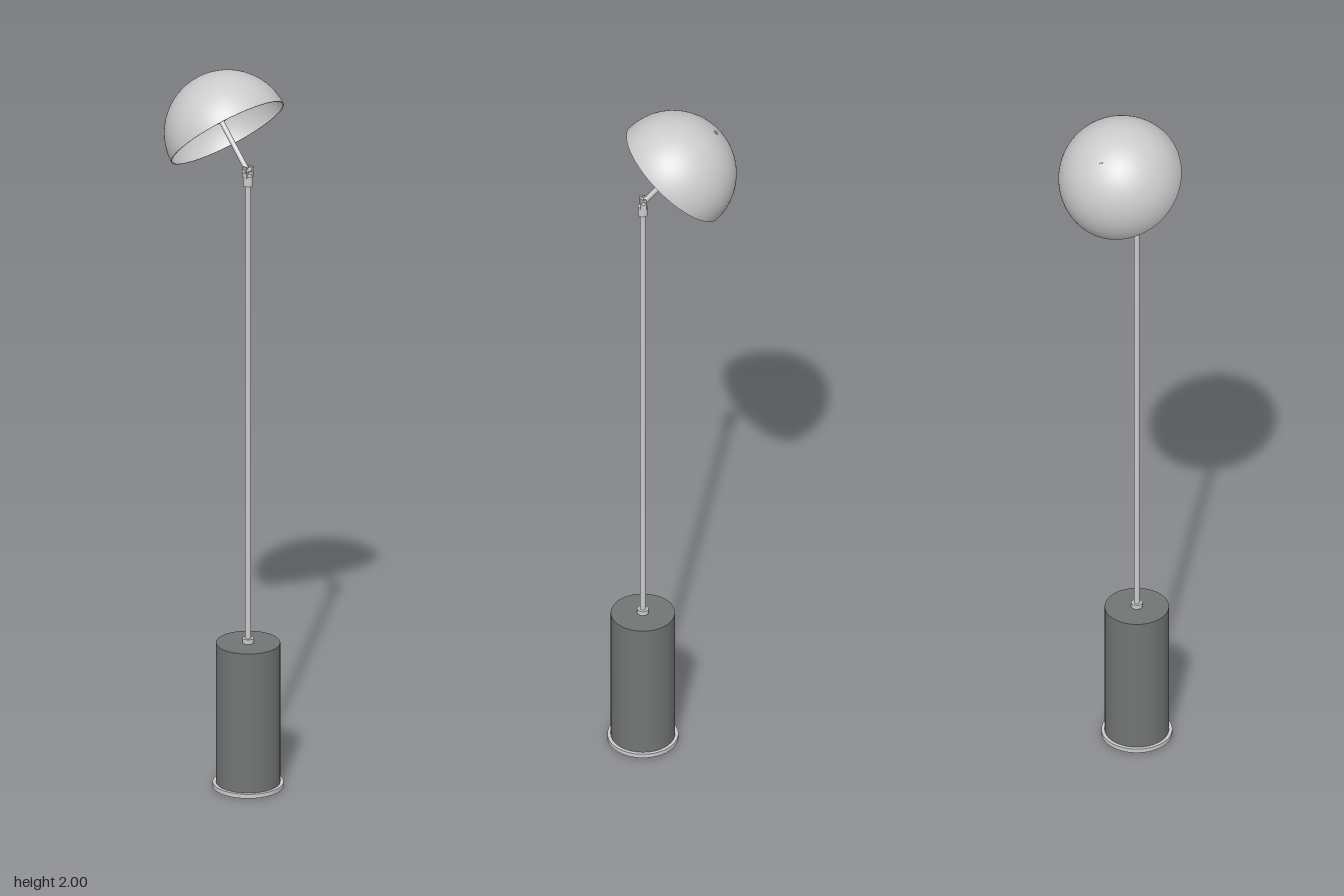
import * as THREE from 'three';

const STEM_X = 0.077;
const TILT = 0.745; // lean of the shade about z
const grey = new THREE.MeshStandardMaterial({ color: 0xcccccc });
const greyShell = new THREE.MeshStandardMaterial({ color: 0xcccccc, side: THREE.DoubleSide });
const dark = new THREE.MeshStandardMaterial({ color: 0x717573 });

function add(parent, name, geometry, material = grey) {
  const mesh = new THREE.Mesh(geometry, material);
  mesh.name = name;
  parent.add(mesh);
  return mesh;
}

// Upright cylinder between two heights
function rod(parent, name, r, y0, y1, material = grey, segments = 32) {
  const mesh = add(parent, name, new THREE.CylinderGeometry(r, r, y1 - y0, segments), material);
  mesh.position.y = (y0 + y1) / 2;
  return mesh;
}

export function createModel() {
  const lamp = new THREE.Group();
  lamp.name = 'floorLamp';

  // Weighted base and upright stem
  const stand = new THREE.Group();
  stand.name = 'stand';
  stand.position.x = STEM_X;
  lamp.add(stand);
  rod(stand, 'basePlate', 0.094, 0, 0.012, grey, 96);
  rod(stand, 'baseCylinder', 0.085, 0.012, 0.407, dark, 96);
  rod(stand, 'stemCollar', 0.015, 0.407, 0.42);
  rod(stand, 'stem', 0.008, 0.42, 1.71);

  // Knuckle joint: collar, two cheeks and a cross pin
  rod(stand, 'jointCollar', 0.013, 1.706, 1.734);
  for (const side of [-1, 1]) {
    const cheek = add(stand, 'jointCheek', new THREE.BoxGeometry(0.015, 0.03, 0.005));
    cheek.position.set(0, 1.745, side * 0.01);
  }
  const pin = add(stand, 'jointPin', new THREE.CylinderGeometry(0.006, 0.006, 0.032, 24));
  pin.rotation.x = Math.PI / 2;
  pin.position.y = 1.75;

  // Tilted head: local origin at the centre of the shade's rim, +y to its crown
  const head = new THREE.Group();
  head.name = 'head';
  head.position.set(-0.004, 1.832, 0);
  head.rotation.z = TILT;
  lamp.add(head);
  rod(head, 'arm', 0.007, -0.118, 0.169);
  rod(head, 'crownPin', 0.004, 0.16, 0.17);
  rod(head, 'socketRing', 0.018, 0.035, 0.043);
  rod(head, 'socket', 0.021, 0.043, 0.068);
  const bulb = add(head, 'bulb', new THREE.SphereGeometry(0.03, 32, 24));
  bulb.position.y = 0.09;

  // Hemispherical shade with a thin wall
  const wall = [[0.168, 0, 1], [0.165, 1, 0]]; // radius, start and end of each sweep
  for (const [i, [r, from, to]] of wall.entries()) {
    const profile = [];
    for (let k = 0; k <= 40; k++) {
      const a = (from + (to - from) * k / 40) * Math.PI / 2;
      profile.push(new THREE.Vector2(Math.max(0, r * Math.cos(a)), r * Math.sin(a)));
    }
    add(head, i ? 'shadeInside' : 'shadeOutside', new THREE.LatheGeometry(profile, 96), greyShell);
  }
  const rim = add(head, 'shadeRim', new THREE.RingGeometry(0.165, 0.168, 96), greyShell);
  rim.rotation.x = Math.PI / 2;

  return lamp;
}
